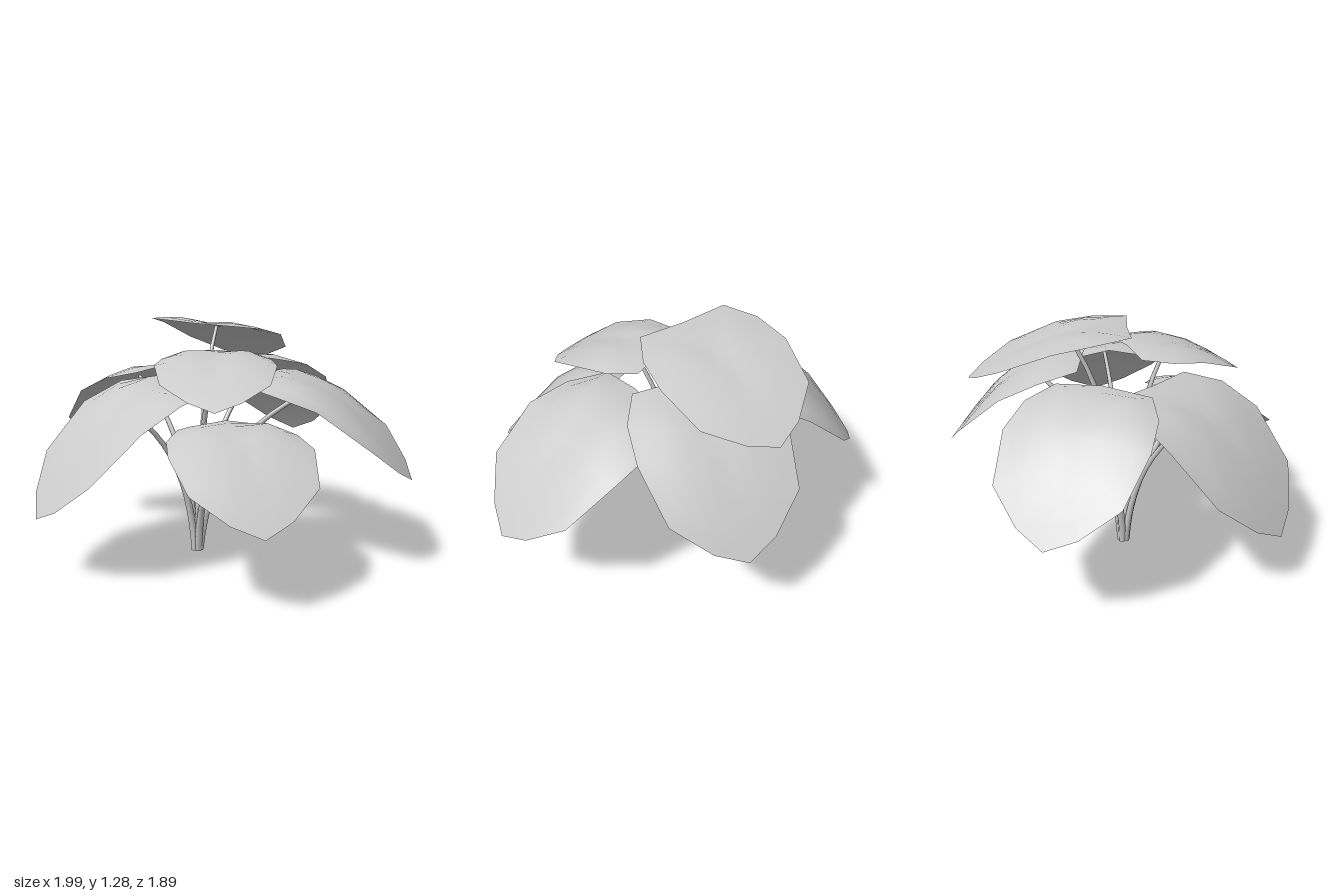
import * as THREE from 'three';
import { mergeVertices } from 'three/addons/utils/BufferGeometryUtils.js';

const ROOT = new THREE.Vector3(-0.055, 0, 0.04);

// base middle and tip in plan (x, z), half width, base and tip heights, droop exponent,
// fall of the base corners, sideways roll
const LEAVES = [
  { name: 'sideLeaf', base: [-0.28, 0], end: [-1, -0.05], w: 0.375, top: 1.045, tip: 0.49, pow: 1.95, fall: 0.1, roll: 0 },
  { name: 'frontLeaf', base: [-0.025, 0.19], end: [-0.3, 0.93], w: 0.415, top: 0.975, tip: 0.33, pow: 2.15, fall: 0.04, roll: -0.02 },
  { name: 'topLeaf', base: [-0.055, 0.065], end: [-0.33, -0.71], w: 0.36, top: 1.28, tip: 1.0, pow: 2.2, fall: 0.03, roll: 0.025 },
  { name: 'backLeaf', base: [0, -0.19], end: [-0.14, -0.95], w: 0.39, top: 1.11, tip: 0.54, pow: 2, fall: 0.08, roll: 0 },
  { name: 'backSideLeaf', base: [0.22, -0.13], end: [0.97, -0.465], w: 0.405, top: 1.045, tip: 0.485, pow: 2.15, fall: 0.15, roll: 0 },
  { name: 'lowFrontLeaf', base: [0.31, 0.22], end: [0.85, 0.57], w: 0.35, top: 0.83, tip: 0.4, pow: 2.25, fall: 0.12, roll: 0 },
  { name: 'upperFrontLeaf', base: [0.06, 0.01], end: [0.51, 0.52], w: 0.3, top: 1.145, tip: 0.9, pow: 2.4, fall: 0.08, roll: 0 },
];

// Half outline of a blade from tip round to the blunt base: (along, across)
const HALF = [[1, 0], [0.92, 0.41], [0.745, 0.86], [0.433, 1], [0.195, 0.93], [0, 0.69], [0.01, 0]];
const MIDDLE = 0.45;

// Point on a leaf: droops to the tip, base corners lower, shallow trough at the base of the midrib
function leafPoint(leaf, t, s) {
  const drop = leaf.top - leaf.tip;
  const p = t + 0.4 * drop * t * (1 - t);
  const ax = leaf.end[0] - leaf.base[0], az = leaf.end[1] - leaf.base[1];
  const side = s * leaf.w / Math.hypot(ax, az);
  const trough = 0.025 * Math.max(0, 1 - 2.5 * Math.abs(s)) * (1 - p);
  const sag = leaf.fall * s * s * (1 - p) ** 2 + 0.012 * s * s;
  return new THREE.Vector3(
    leaf.base[0] + ax * p + az * side,
    leaf.top - drop * p ** leaf.pow - sag - trough + leaf.roll * s,
    leaf.base[1] + az * p - ax * side);
}

// Twelve-sided blade made of rings shrinking towards its middle
function makeLeaf(leaf, material) {
  const rings = 5, sides = 12;
  let geo = new THREE.RingGeometry(0, 1, sides, rings);
  geo.deleteAttribute('uv');
  geo.deleteAttribute('normal');
  for (let i = 0; i <= rings; i++) {
    for (let j = 0; j <= sides; j++) {
      const [t, s] = HALF[j <= 6 ? j : 12 - j];
      const r = i / rings, sign = j <= 6 ? 1 : -1;
      const q = leafPoint(leaf, MIDDLE + (t - MIDDLE) * r, s * sign * r);
      geo.attributes.position.setXYZ(i * (sides + 1) + j, q.x, q.y, q.z);
    }
  }
  geo = mergeVertices(geo);
  geo.computeVertexNormals();
  const mesh = new THREE.Mesh(geo, material);
  mesh.name = leaf.name;
  return mesh;
}

// Tapered stalk curving from the root cluster to the underside of its leaf
function makeStem(leaf, index, material) {
  const end = leafPoint(leaf, 0.36, 0);
  end.y -= 0.008;
  const a = Math.atan2(end.z - ROOT.z, end.x - ROOT.x);
  const start = ROOT.clone().add(new THREE.Vector3(Math.cos(a) * 0.014, 0, Math.sin(a) * 0.014));
  const bend = start.clone().lerp(end, 0.1).setY(end.y * 0.72);
  const curve = new THREE.QuadraticBezierCurve3(start, bend, end);
  const rings = 12, sides = 6;
  const geo = new THREE.TubeGeometry(curve, rings, 0.022, sides, false);
  const p = geo.attributes.position, q = new THREE.Vector3();
  for (let i = 0; i <= rings; i++) {
    const mid = curve.getPointAt(i / rings);
    for (let j = 0; j <= sides; j++) {
      const k = i * (sides + 1) + j;
      q.fromBufferAttribute(p, k).sub(mid).multiplyScalar(1 - 0.55 * i / rings).add(mid);
      p.setXYZ(k, q.x, Math.max(q.y, 0), q.z);
    }
  }
  const mesh = new THREE.Mesh(geo, material);
  mesh.name = 'stem' + (index + 1);
  return mesh;
}

export function createModel() {
  const plant = new THREE.Group();
  plant.name = 'plant';
  const material = new THREE.MeshStandardMaterial({ color: 0xcccccc, side: THREE.DoubleSide });
  LEAVES.forEach((leaf, i) => {
    plant.add(makeLeaf(leaf, material), makeStem(leaf, i, material));
  });
  return plant;
}
